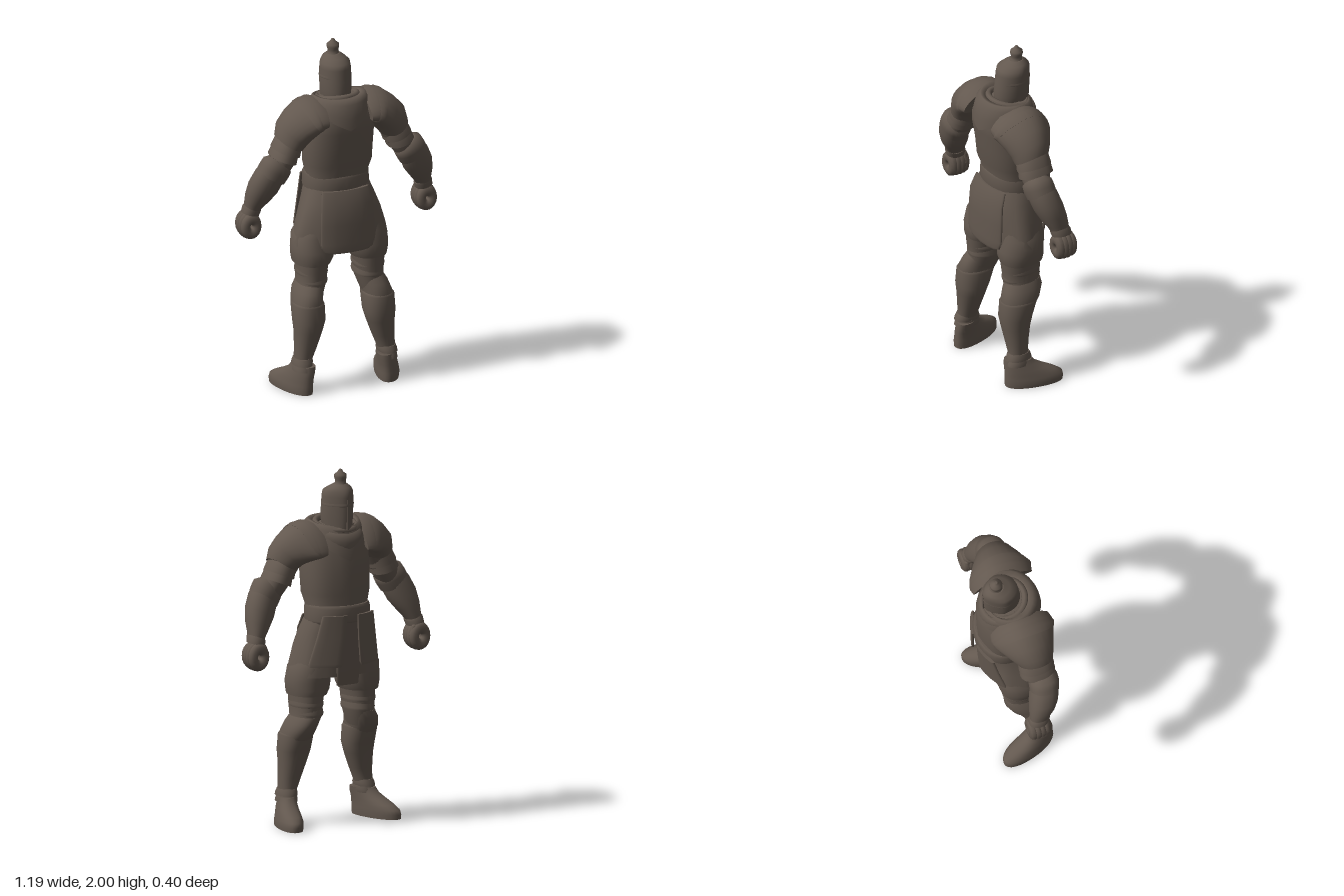
import * as THREE from 'three';

const N = 28;
const steel = new THREE.MeshStandardMaterial({ color: 0x63584f, side: THREE.DoubleSide });
steel.name = 'dark steel';

// Loft through rows [x, y, z, rx, rz], listed from bottom to top.
// s mirrors x, tilt turns the rings along the path, p < 1 makes them boxier.
function loft(rows, { s = 1, tilt = false, warp = null, cap = true, p = 0.9 } = {}) {
  const pos = [], index = [], v = new THREE.Vector3();
  const put = (x, y, z) => {
    v.set(x, y, z);
    if (warp) warp(v);
    pos.push(v.x * s, v.y, v.z);
  };
  const pow = (c) => Math.sign(c) * Math.abs(c) ** p;
  const tri = (a, b, c) => (s > 0 ? index.push(a, b, c) : index.push(a, c, b));
  const ring = (i) => {
    const [x, y, z, rx, rz] = rows[i];
    const lo = rows[Math.max(i - 1, 0)], hi = rows[Math.min(i + 1, rows.length - 1)];
    const t = tilt ? Math.atan2(lo[0] - hi[0], hi[1] - lo[1]) : 0;
    for (let j = 0; j < N; j++) {
      const a = (j / N) * Math.PI * 2, u = pow(Math.cos(a)) * rx;
      put(x + u * Math.cos(t), y + u * Math.sin(t), z + pow(Math.sin(a)) * rz);
    }
  };
  rows.forEach((_, i) => ring(i));
  for (let i = 0; i < rows.length - 1; i++) {
    for (let j = 0; j < N; j++) {
      const k = (j + 1) % N, a = i * N + j, b = i * N + k;
      tri(a, a + N, b);
      tri(b, a + N, b + N);
    }
  }
  if (cap) {
    for (const i of [0, rows.length - 1]) {
      const base = pos.length / 3;
      ring(i);
      put(rows[i][0], rows[i][1], rows[i][2]);
      for (let j = 0; j < N; j++) {
        const a = base + j, b = base + (j + 1) % N;
        if (i === 0) tri(base + N, a, b); else tri(base + N, b, a);
      }
    }
  }
  const g = new THREE.BufferGeometry();
  g.setAttribute('position', new THREE.Float32BufferAttribute(pos, 3));
  g.setIndex(index);
  g.computeVertexNormals();
  return g;
}

export function createModel() {
  const model = new THREE.Group();
  model.name = 'armouredFigure';
  const add = (name, geometry, parent = model) => {
    const m = new THREE.Mesh(geometry, steel);
    m.name = name;
    parent.add(m);
    return m;
  };

  // Torso and belt
  add('breastplate', loft([
    [0, 1.12, -0.03, 0.175, 0.135], [0, 1.25, -0.03, 0.178, 0.138], [0, 1.31, -0.02, 0.194, 0.15],
    [0, 1.42, -0.015, 0.198, 0.156], [0, 1.52, 0, 0.198, 0.16], [0, 1.6, 0.01, 0.188, 0.153],
    [0, 1.66, 0.01, 0.16, 0.135], [0, 1.69, 0, 0.12, 0.11]], {
    p: 0.85,
    warp: (v) => { if (v.z < -0.1) v.z -= 0.012 * Math.max(0, 1 - Math.abs(v.x) / 0.08); },
  }));
  add('belt', loft([
    [0, 1.15, -0.04, 0.18, 0.145], [0, 1.165, -0.04, 0.187, 0.157],
    [0, 1.235, -0.04, 0.184, 0.155], [0, 1.25, -0.04, 0.176, 0.145]]));

  // Hooded collar, dipping to a point at front and back
  const droop = (v) => {
    const d = Math.max(0, 1.7 - v.y) / 0.08;
    v.y -= d * 0.1 * Math.max(0, 1 - Math.abs(v.x) / 0.17) * Math.min(1, Math.abs(v.z) / 0.1);
    v.y += Math.min(0, v.z) * 0.25;
  };
  add('cowl', loft([
    [0, 1.63, 0, 0.175, 0.18], [0, 1.66, 0.002, 0.172, 0.173], [0, 1.695, 0.006, 0.163, 0.154],
    [0, 1.717, 0, 0.148, 0.132], [0, 1.71, -0.01, 0.128, 0.115], [0, 1.67, -0.02, 0.1, 0.095]],
  { warp: droop, cap: false, p: 1 }));
  add('scarfFold', loft([
    [0, 1.655, -0.015, 0.15, 0.155], [0, 1.675, -0.014, 0.152, 0.162], [0, 1.695, -0.015, 0.14, 0.145],
    [0, 1.69, -0.015, 0.12, 0.12]], { warp: droop, cap: false, p: 1 }));
  const fold = add('collarFold', new THREE.TorusGeometry(0.112, 0.018, 8, 32));
  fold.rotation.x = Math.PI / 2 - 0.2;
  fold.position.set(0, 1.685, -0.022);
  add('neck', loft([[0, 1.62, -0.02, 0.08, 0.08], [0, 1.74, -0.045, 0.07, 0.075]]));

  // Helmet with a creased face, flared nape and top knob
  const beak = (v) => {
    if (v.z < -0.06 && v.y < 1.9) v.x *= 1 - 0.25 * Math.min(1, (-0.06 - v.z) / 0.09);
    if (v.z < -0.05 && v.y < 1.7) v.y -= 0.01;
    if (v.z > -0.05 && v.y < 1.7) v.y += 0.02;
  };
  add('helmet', loft([
    [0, 1.675, -0.043, 0.083, 0.103], [0, 1.73, -0.044, 0.088, 0.106], [0, 1.78, -0.048, 0.089, 0.104],
    [0, 1.85, -0.052, 0.088, 0.1], [0, 1.88, -0.055, 0.084, 0.096], [0, 1.902, -0.066, 0.062, 0.068],
    [0, 1.92, -0.073, 0.037, 0.04]], { warp: beak, p: 1 }));
  add('helmetKnob', loft([
    [0, 1.91, -0.074, 0.04, 0.043], [0, 1.925, -0.075, 0.03, 0.032], [0, 1.942, -0.075, 0.03, 0.032],
    [0, 1.957, -0.075, 0.035, 0.036], [0, 1.972, -0.075, 0.034, 0.034], [0, 1.985, -0.075, 0.017, 0.017],
    [0, 2, -0.075, 0.008, 0.008]], { p: 1 }));
  add('visorRidge', new THREE.BoxGeometry(0.01, 0.17, 0.01)).position.set(0, 1.755, -0.15);
  // Visor rim hugging the upper face
  add('visorRim', loft([
    [0, 1.8, -0.052, 0.091, 0.102], [0, 1.805, -0.052, 0.092, 0.104], [0, 1.815, -0.052, 0.09, 0.102]],
  { warp: beak, cap: false, p: 1 }));

  // Skirt with soft pleats
  add('skirt', loft([
    [0, 0.85, 0, 0.276, 0.155], [0, 0.92, 0, 0.262, 0.153], [0, 1.02, 0, 0.234, 0.15],
    [0, 1.1, -0.01, 0.206, 0.146], [0, 1.17, -0.03, 0.182, 0.142]], {
    cap: false, p: 0.85,
    warp: (v) => {
      const k = 1 + 0.025 * Math.sin(Math.atan2(v.z, v.x) * 9) * Math.min(1, (1.17 - v.y) / 0.2);
      v.x *= k;
      v.z *= k;
    },
  }));
  // Hanging panels, bent around the body
  const bend = (k) => (v) => { v.z -= k * v.x * v.x; };
  add('backPanel', loft([
    [0, 0.815, 0.158, 0.12, 0.008], [0, 0.83, 0.161, 0.148, 0.01], [0, 0.87, 0.161, 0.16, 0.01],
    [0, 0.98, 0.158, 0.16, 0.01], [0, 1.09, 0.15, 0.155, 0.01], [0, 1.17, 0.117, 0.14, 0.01]],
  { p: 0.5, warp: bend(1.1) }));
  add('frontPanel', loft([
    [0, 0.8, -0.15, 0.07, 0.008], [0, 0.95, -0.166, 0.078, 0.01], [0, 1.2, -0.18, 0.07, 0.01]],
  { p: 0.5, warp: bend(-1) }));
  for (const s of [1, -1]) {
    add('frontTasset', loft([
      [0.145, 0.91, -0.193, 0.078, 0.008], [0.14, 0.93, -0.195, 0.085, 0.01],
      [0.115, 1.08, -0.198, 0.075, 0.01], [0.1, 1.2, -0.2, 0.065, 0.01]],
    { s, p: 0.5, warp: bend(-1.8) }));
  }

  for (const s of [1, -1]) {
    const side = s > 0 ? 'left' : 'right';

    // Arm
    const arm = new THREE.Group();
    arm.name = side + 'Arm';
    model.add(arm);
    const a = { s, tilt: true };
    // Shoulder shell, hanging lower over the chest than over the back
    const drape = { ...a, p: 1, warp: (v) => { v.y -= (v.z < 0 ? 3.5 : 1.2) * v.z * v.z; } };
    add('pauldron', loft([
      [0.314, 1.485, 0.038, 0.085, 0.1], [0.29, 1.535, 0.03, 0.1, 0.12], [0.25, 1.58, 0.022, 0.098, 0.145],
      [0.2, 1.625, 0.015, 0.09, 0.172], [0.165, 1.645, 0.013, 0.077, 0.18], [0.13, 1.64, 0.013, 0.06, 0.172]],
    drape), arm);
    // Raised edge of the shoulder plate
    add('pauldronRim', loft([
      [0.2, 1.627, 0.017, 0.09, 0.172], [0.18, 1.643, 0.018, 0.081, 0.182], [0.165, 1.648, 0.016, 0.07, 0.17]],
    drape), arm);
    // Lapped upper arm plates
    for (const [x, y, r] of [[0.316, 1.45, 0.08], [0.335, 1.41, 0.077]]) {
      add('armPlate', loft([
        [x + 0.018, y - 0.025, 0.035, r, 0.1], [x, y + 0.02, 0.035, r - 0.005, 0.096],
        [x - 0.03, y + 0.07, 0.03, r - 0.02, 0.08]], a), arm);
    }
    add('upperArm', loft([
      [0.4, 1.31, 0.045, 0.06, 0.065], [0.36, 1.38, 0.04, 0.07, 0.08], [0.29, 1.5, 0.03, 0.075, 0.09]], a), arm);
    add('elbowGuard', loft([
      [0.43, 1.29, 0.047, 0.086, 0.08], [0.408, 1.33, 0.052, 0.088, 0.084], [0.39, 1.362, 0.055, 0.086, 0.08],
      [0.378, 1.378, 0.055, 0.06, 0.06]], a), arm);
    add('forearm', loft([
      [0.517, 1.09, -0.015, 0.042, 0.052], [0.507, 1.12, -0.008, 0.05, 0.058], [0.49, 1.17, 0.01, 0.068, 0.072],
      [0.464, 1.23, 0.028, 0.084, 0.08], [0.432, 1.3, 0.045, 0.083, 0.08], [0.41, 1.345, 0.05, 0.07, 0.07]], a), arm);
    add('cuff', loft([
      [0.521, 1.065, -0.022, 0.048, 0.056], [0.514, 1.095, -0.016, 0.05, 0.058], [0.505, 1.11, -0.01, 0.045, 0.05]], a), arm);
    // Hollow fist made of curled fingers
    [0.037, 0.039, 0.038, 0.034].forEach((r, i) => {
      const finger = add('finger', new THREE.TorusGeometry(r, 0.027, 10, 18), arm);
      finger.position.set(s * 0.527, 0.998, -0.064 + i * 0.024);
      finger.scale.y = 1.25;
    });
    const thumb = add('thumb', new THREE.CapsuleGeometry(0.017, 0.045, 4, 10), arm);
    thumb.position.set(s * 0.487, 1.03, -0.06);
    thumb.rotation.z = s * -0.3;

    // Leg
    const leg = new THREE.Group();
    leg.name = side + 'Leg';
    model.add(leg);
    add('thighCuff', loft([
      [0.168, 0.742, 0.01, 0.103, 0.122], [0.163, 0.775, 0.01, 0.114, 0.13], [0.16, 0.82, 0.01, 0.12, 0.13],
      [0.158, 0.9, 0, 0.112, 0.125], [0.12, 0.98, 0, 0.1, 0.11]], { s }), leg);
    add('thigh', loft([
      [0.2, 0.53, 0.03, 0.075, 0.095], [0.172, 0.62, 0.012, 0.078, 0.105],
      [0.17, 0.7, 0.015, 0.084, 0.112], [0.165, 0.78, 0.015, 0.092, 0.118]], { s }), leg);
    for (const [x, y, r] of [[0.17, 0.7, 0.084], [0.168, 0.65, 0.08]]) {
      add('thighPlate', loft([
        [x, y - 0.025, 0.012, r, 0.108], [x, y - 0.012, 0.012, r + 0.003, 0.112], [x, y + 0.03, 0.012, r - 0.004, 0.102]], { s }), leg);
    }
    add('kneeGuard', loft([
      [0.212, 0.47, 0.06, 0.08, 0.09], [0.208, 0.525, 0.043, 0.082, 0.115],
      [0.194, 0.58, 0.02, 0.078, 0.118], [0.178, 0.62, 0.01, 0.072, 0.105]], { s }), leg);
    add('greave', loft([
      [0.25, 0.15, 0.08, 0.045, 0.062], [0.247, 0.2, 0.083, 0.05, 0.056], [0.232, 0.27, 0.083, 0.063, 0.064],
      [0.216, 0.36, 0.08, 0.079, 0.08], [0.21, 0.42, 0.076, 0.09, 0.093], [0.209, 0.51, 0.056, 0.089, 0.108],
      [0.207, 0.522, 0.054, 0.08, 0.1]], { s }), leg);
    for (const y of [0.15, 0.185]) {
      add('ankleRing', loft([
        [0.255, y - 0.018, 0.083, 0.054, 0.074], [0.252, y, 0.083, 0.055, 0.07], [0.25, y + 0.02, 0.083, 0.05, 0.06]], { s }), leg);
    }
    add('boot', loft([
      [0.288, 0, 0.005, 0.068, 0.158], [0.288, 0.025, 0.005, 0.071, 0.16], [0.286, 0.05, 0.007, 0.068, 0.157],
      [0.283, 0.075, 0.025, 0.064, 0.138], [0.28, 0.1, 0.05, 0.06, 0.112], [0.273, 0.13, 0.076, 0.055, 0.085],
      [0.268, 0.16, 0.084, 0.052, 0.072]],
    { s, warp: (v) => { v.x -= v.z * 0.25; } }), leg);
  }
  return model;
}
